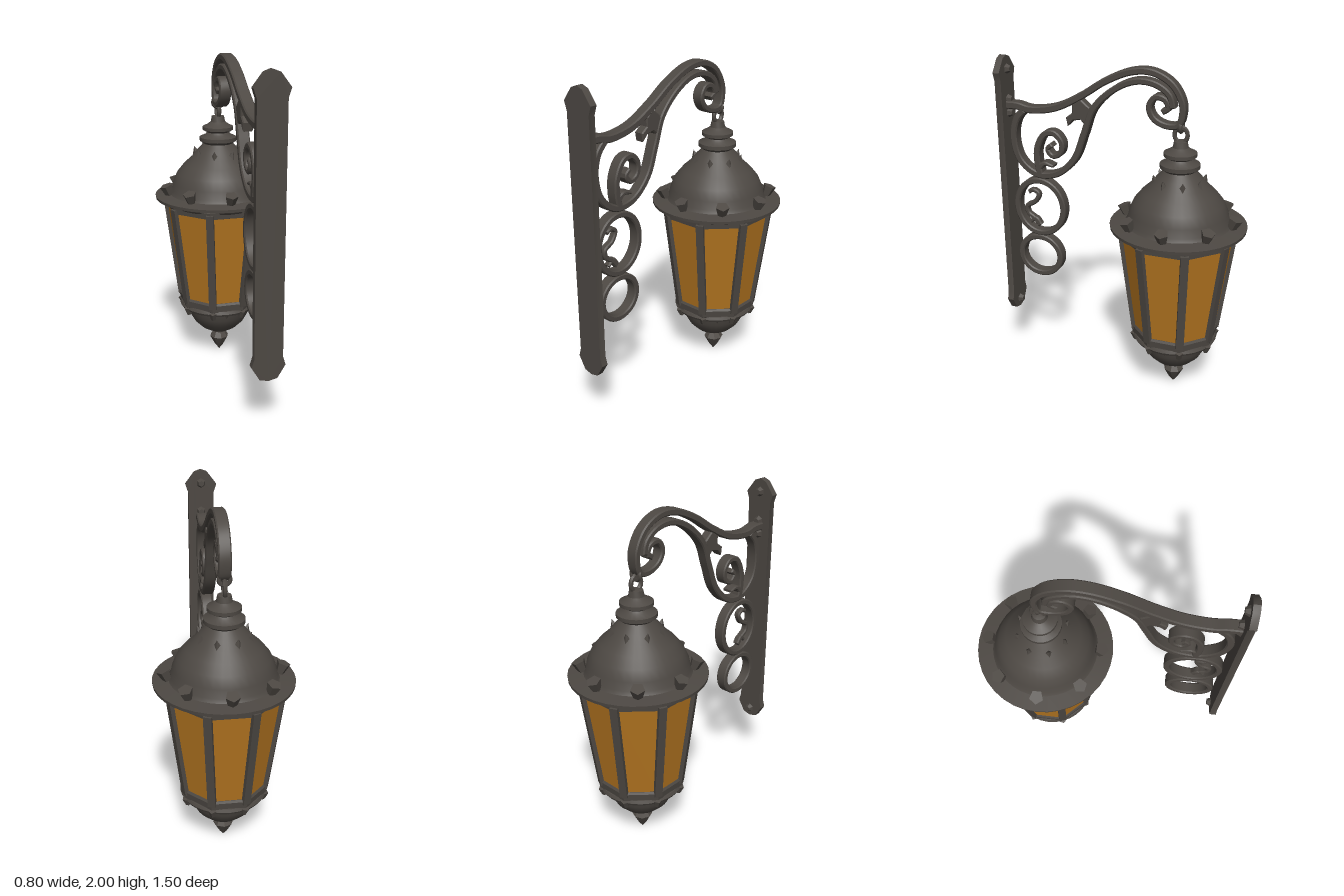
import * as THREE from 'three';
import { toCreasedNormals } from 'three/addons/utils/BufferGeometryUtils.js';

const iron = new THREE.MeshStandardMaterial({ color: 0x4d4843 });
iron.name = 'dark iron';
const amber = new THREE.MeshStandardMaterial({ color: 0xb27420 });
amber.name = 'amber glass';

function add(parent, name, geo, material = iron, crease = 0.6) {
  const mesh = new THREE.Mesh(toCreasedNormals(geo, crease), material);
  mesh.name = name;
  parent.add(mesh);
  return mesh;
}

// Revolved part from [radius, y] pairs, listed from bottom to top
function lathe(parent, name, profile, segments = 32, material = iron, start = 0, crease = 0.6) {
  const pts = profile.map(([r, y]) => new THREE.Vector2(r, y));
  return add(parent, name, new THREE.LatheGeometry(pts, segments, start), material, crease);
}

// Flat ironwork: a side outline extruded across x with softened edges
function sideExtrude(parent, name, shape, width) {
  const bevel = 0.007;
  const geo = new THREE.ExtrudeGeometry(shape, {
    depth: width - 2 * bevel, bevelThickness: bevel, bevelSize: bevel, bevelOffset: -bevel,
    bevelSegments: 1, curveSegments: 28,
  });
  geo.translate(0, 0, -width / 2 + bevel);
  geo.rotateY(Math.PI / 2);
  return add(parent, name, geo, iron, 0.5);
}

// Curved bar following [z, y] points, tapering from t0 to t1
function ribbon(parent, name, path, t0 = 0.045, t1 = t0, width = 0.07) {
  const curve = new THREE.CatmullRomCurve3(path.map(([z, y]) => new THREE.Vector3(-z, y, 0)), false, 'centripetal');
  const n = path.length * 5;
  const left = [], right = [];
  for (let i = 0; i <= n; i++) {
    const p = curve.getPointAt(i / n), d = curve.getTangentAt(i / n);
    const h = THREE.MathUtils.lerp(t0, t1, i / n) / 2;
    left.push(new THREE.Vector2(p.x - d.y * h, p.y + d.x * h));
    right.unshift(new THREE.Vector2(p.x + d.y * h, p.y - d.x * h));
  }
  return sideExtrude(parent, name, new THREE.Shape([...left, ...right]), width);
}

function ring(parent, name, z, y, rz, ry, t) {
  const shape = new THREE.Shape().absellipse(-z, y, rz, ry, 0, Math.PI * 2, false);
  shape.holes.push(new THREE.Path().absellipse(-z, y, rz - t, ry - t, 0, Math.PI * 2, true));
  return sideExtrude(parent, name, shape, 0.07);
}

// Copies of one part set around the lantern axis and leaning outwards
function around(parent, name, geo, count, r, y, tilt, offset = 0) {
  for (let i = 0; i < count; i++) {
    const a = offset + (i / count) * Math.PI * 2;
    const mesh = add(parent, name, geo, iron, 0.4);
    mesh.position.set(r * Math.sin(a), y, r * Math.cos(a));
    mesh.rotation.set(tilt, a, 0, 'YXZ');
  }
}

function buildWallPlate() {
  const g = new THREE.Group();
  g.name = 'wallPlate';
  const half = [[0.05, 0.355], [0.095, 0.43], [0.08, 0.48], [0.08, 1.86], [0.097, 1.91], [0.04, 1.985]];
  const outline = [[0, 0.343], ...half, [0, 2], ...half.map(([x, y]) => [-x, y]).reverse()];
  const shape = new THREE.Shape(outline.map(([x, y]) => new THREE.Vector2(x, y)));
  const geo = new THREE.ExtrudeGeometry(shape, { depth: 0.04, bevelEnabled: false });
  geo.translate(0, 0, 0.71);
  add(g, 'backPlate', geo);
  // Studs on the lantern side
  for (const y of [0.4, 1.66, 1.74, 1.92]) {
    const stud = add(g, 'stud', new THREE.CylinderGeometry(0.032, 0.018, 0.03, 6).rotateX(Math.PI / 2));
    stud.position.set(0, y, 0.699);
  }
  return g;
}

function buildBracket() {
  const g = new THREE.Group();
  g.name = 'scrollBracket';
  ribbon(g, 'upperArm', [[0.715, 1.71], [0.64, 1.71], [0.56, 1.695], [0.4, 1.72], [0.24, 1.8], [0.085, 1.9],
    [-0.07, 1.965], [-0.19, 1.97], [-0.3, 1.915], [-0.36, 1.82], [-0.365, 1.75], [-0.345, 1.69],
    [-0.275, 1.68], [-0.2, 1.715], [-0.173, 1.78], [-0.21, 1.835], [-0.265, 1.825], [-0.285, 1.78], [-0.25, 1.755]], 0.045, 0.032);
  ribbon(g, 'lowerArm', [[0.6, 1.69], [0.65, 1.63], [0.675, 1.52], [0.64, 1.38], [0.535, 1.3], [0.4, 1.315],
    [0.285, 1.42], [0.22, 1.58], [0.16, 1.735], [0.03, 1.86], [-0.1, 1.915], [-0.21, 1.905], [-0.29, 1.85], [-0.31, 1.78]], 0.042, 0.035);
  ribbon(g, 'innerScroll', [[0.51, 1.3], [0.525, 1.38], [0.52, 1.47], [0.47, 1.555], [0.41, 1.565], [0.362, 1.51],
    [0.375, 1.445], [0.425, 1.425], [0.455, 1.465], [0.425, 1.495]], 0.042, 0.028);
  ribbon(g, 'scrollBranch', [[0.525, 1.33], [0.48, 1.37], [0.42, 1.36]], 0.04, 0.015);
  ring(g, 'largeRing', 0.52, 1.085, 0.172, 0.19, 0.036);
  ring(g, 'smallRing', 0.53, 0.757, 0.15, 0.143, 0.036);
  // Tendril inside the large ring
  ribbon(g, 'tendril', [[0.6, 1.17], [0.57, 1.185], [0.535, 1.165], [0.56, 1.11], [0.615, 1.075], [0.61, 1.03],
    [0.57, 1.0], [0.53, 0.955]], 0.025, 0.03, 0.04);
  ribbon(g, 'tendrilLeaf', [[0.595, 0.97], [0.56, 1.0], [0.53, 0.96]], 0.02, 0.03, 0.04);
  // Leaf where the two arms meet
  const leaf = [[0.24, 1.79], [0.18, 1.74], [0.175, 1.67], [0.21, 1.635], [0.24, 1.665], [0.285, 1.655],
    [0.32, 1.62], [0.33, 1.67], [0.29, 1.7], [0.29, 1.75]];
  sideExtrude(g, 'leaf', new THREE.Shape(leaf.map(([z, y]) => new THREE.Vector2(-z, y))), 0.06);
  return g;
}

function buildLantern() {
  const g = new THREE.Group();
  g.name = 'lantern';
  g.position.z = -0.355;

  // Hanging hook
  const link = add(g, 'hangingLink', new THREE.TorusGeometry(0.038, 0.013, 6, 14).rotateY(Math.PI / 2), iron, 1);
  link.position.set(0, 1.63, 0);
  link.scale.y = 1.15;
  const upper = add(g, 'hookLink', new THREE.TorusGeometry(0.03, 0.013, 6, 14), iron, 1);
  upper.position.set(0, 1.68, 0);

  // Roof
  lathe(g, 'roof', [[0.29, 1.03], [0.325, 1.05], [0.335, 1.075], [0.398, 1.082], [0.4, 1.1], [0.31, 1.11],
    [0.297, 1.13], [0.287, 1.18], [0.26, 1.24], [0.215, 1.295], [0.165, 1.34], [0.13, 1.385], [0.105, 1.41], [0.085, 1.435]], 36, iron, 0, 0.75);
  lathe(g, 'roofFinial', [[0.085, 1.42], [0.115, 1.442], [0.115, 1.465], [0.08, 1.48], [0.068, 1.495], [0.095, 1.51],
    [0.095, 1.53], [0.065, 1.545], [0.045, 1.56], [0.038, 1.595], [0, 1.605]], 24);
  around(g, 'roofKnob', new THREE.CylinderGeometry(0.042, 0.026, 0.065, 5), 8, 0.325, 1.14, 0.35);
  around(g, 'roofLeaf', new THREE.ConeGeometry(0.026, 0.05, 4), 8, 0.145, 1.375, 0.3, Math.PI / 8);

  // Eight-sided glass and its posts
  lathe(g, 'glass', [[0.255, 0.42], [0.337, 1.04]], 8, amber, Math.PI / 8, 0.1);
  around(g, 'post', new THREE.BoxGeometry(0.046, 0.65, 0.04), 8, 0.29, 0.725, 0.131, Math.PI / 8);
  lathe(g, 'topRail', [[0.325, 1.015], [0.34, 1.02], [0.345, 1.06], [0.3, 1.075]], 8, iron, Math.PI / 8, 0.3);
  lathe(g, 'bottomRail', [[0.255, 0.37], [0.262, 0.375], [0.268, 0.42], [0.26, 0.433], [0.24, 0.435]], 8, iron, Math.PI / 8, 0.3);

  // Base bowl and pointed drop
  lathe(g, 'baseBowl', [[0.03, 0.14], [0.07, 0.155], [0.12, 0.185], [0.165, 0.23], [0.195, 0.285], [0.207, 0.335],
    [0.25, 0.345], [0.258, 0.36], [0.25, 0.378], [0.2, 0.385]], 32, iron, 0, 0.75);
  around(g, 'baseKnob', new THREE.CylinderGeometry(0.024, 0.016, 0.05, 5), 8, 0.245, 0.345, 0.3, Math.PI / 8);
  around(g, 'baseStud', new THREE.ConeGeometry(0.02, 0.035, 4).rotateX(Math.PI), 8, 0.205, 0.325, 0);
  lathe(g, 'drop', [[0, 0], [0.03, 0.04], [0.062, 0.1], [0.04, 0.135], [0.045, 0.16]], 8, iron, 0, 0.3);
  return g;
}

export function createModel() {
  const model = new THREE.Group();
  model.name = 'wallLantern';
  model.add(buildWallPlate(), buildBracket(), buildLantern());
  return model;
}
